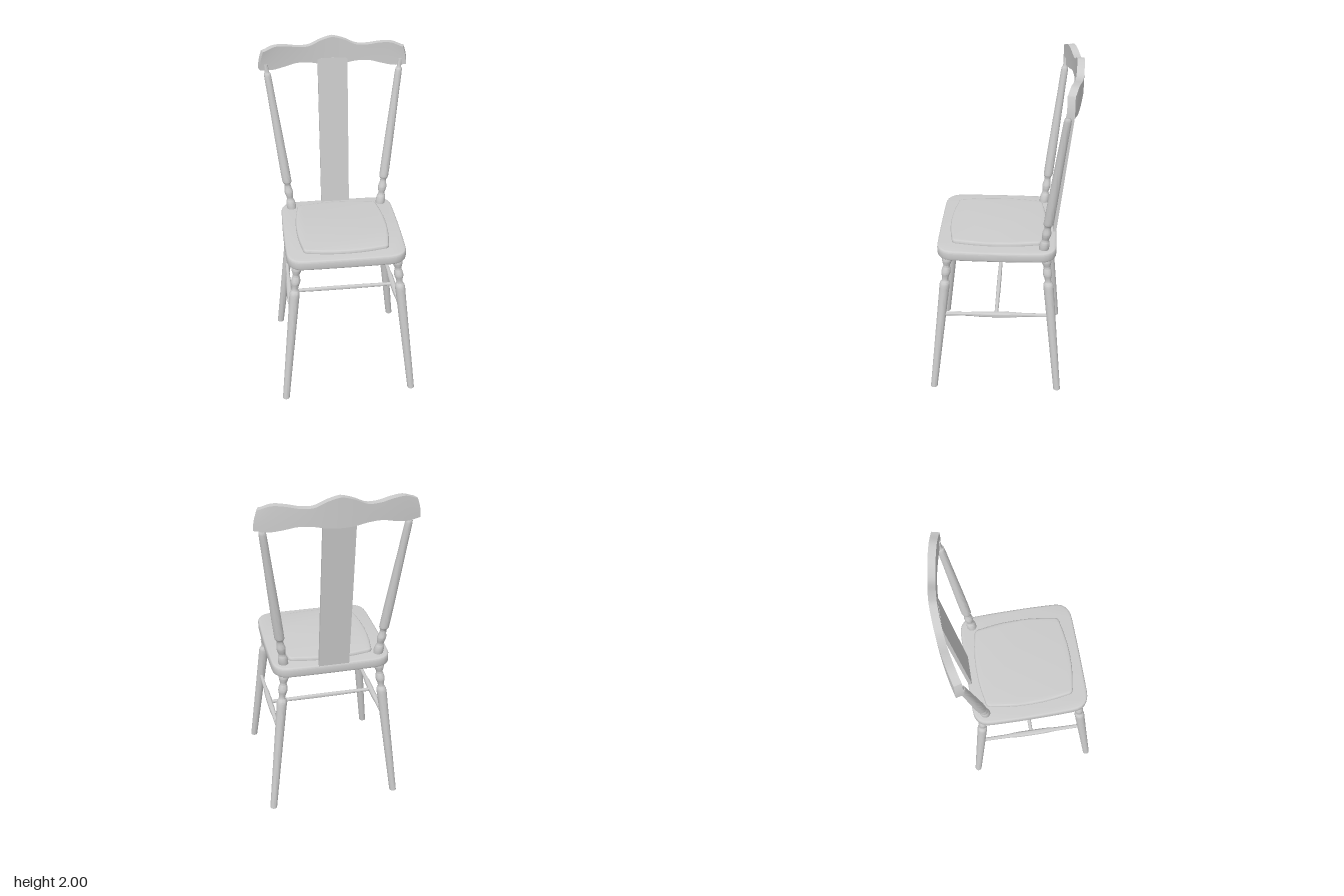
import * as THREE from 'three';
import { toCreasedNormals } from 'three/addons/utils/BufferGeometryUtils.js';

const material = new THREE.MeshStandardMaterial({ color: 0xcccccc });
const V = (x, y, z) => new THREE.Vector3(x, y, z);

function part(name, geometry) {
  const mesh = new THREE.Mesh(geometry, material);
  mesh.name = name;
  return mesh;
}

// Closed lathe from [radius, height] points, smoothed by a spline
function turned(profile, samples) {
  const curve = new THREE.SplineCurve(profile.map(([r, y]) => new THREE.Vector2(r, y)));
  const pts = curve.getPoints(samples);
  const bottom = new THREE.Vector2(0, pts[0].y);
  const top = new THREE.Vector2(0, pts[pts.length - 1].y);
  return new THREE.LatheGeometry([bottom, ...pts, top], 20);
}

// Turned upright sheared to lean from a to b, so its ends stay level
function leaning(name, profile, a, b) {
  const kx = (b.x - a.x) / (b.y - a.y), kz = (b.z - a.z) / (b.y - a.y);
  const geo = turned(profile, 60);
  geo.applyMatrix4(new THREE.Matrix4().set(
    1, kx, 0, a.x - kx * a.y,
    0, 1, 0, 0,
    0, kz, 1, a.z - kz * a.y,
    0, 0, 0, 1));
  return part(name, toCreasedNormals(geo, 0.8));
}

// Thin rod, swelling at the middle
function rod(name, a, b, rEnd, rMid) {
  const h = a.distanceTo(b) / 2;
  const mesh = part(name, toCreasedNormals(
    turned([[rEnd, -h], [rEnd * 1.1, -h / 2], [rMid, -h / 4], [rMid, h / 4], [rEnd * 1.1, h / 2], [rEnd, h]], 24), 0.8));
  mesh.position.copy(a).add(b).multiplyScalar(0.5);
  mesh.quaternion.setFromUnitVectors(V(0, 1, 0), b.clone().sub(a).normalize());
  return mesh;
}

// Horizontal slab with bowed sides: corner (cx, cz), side middles (mx, mz), corner rounding r
function slab(name, [cx, cz], [mx, mz], r, y0, y1, bevel) {
  cx -= bevel; cz -= bevel; mx -= bevel; mz -= bevel;
  const s = new THREE.Shape();
  s.moveTo(-cx + r, -cz);
  s.quadraticCurveTo(0, cz - 2 * mz, cx - r, -cz);
  s.quadraticCurveTo(cx, -cz, cx, -cz + r);
  s.quadraticCurveTo(2 * mx - cx, 0, cx, cz - r);
  s.quadraticCurveTo(cx, cz, cx - r, cz);
  s.quadraticCurveTo(0, 2 * mz - cz, -cx + r, cz);
  s.quadraticCurveTo(-cx, cz, -cx, cz - r);
  s.quadraticCurveTo(cx - 2 * mx, 0, -cx, -cz + r);
  s.quadraticCurveTo(-cx, -cz, -cx + r, -cz);
  const geo = new THREE.ExtrudeGeometry(s, {
    depth: y1 - y0 - 2 * bevel, bevelThickness: bevel, bevelSize: bevel, bevelSegments: 3, curveSegments: 6,
  });
  geo.rotateX(-Math.PI / 2).translate(0, y0 + bevel, 0);
  return part(name, toCreasedNormals(geo, 0.6));
}

// Bowed top rail with a scalloped top and bottom edge
function topRail() {
  const edge = pts => new THREE.SplineCurve(pts.map(([x, y]) => new THREE.Vector2(x, y)));
  const sample = (curve, x) => { // height of a curve running evenly over 0..1
    return curve.getPoint(Math.min(1, Math.abs(x))).y;
  };
  const top = edge([[0, 2], [0.2, 1.982], [0.4, 1.953], [0.6, 1.952], [0.8, 1.964], [0.93, 1.967], [1, 1.945]]);
  const low = edge([[0, 1.838], [0.2, 1.842], [0.4, 1.855], [0.6, 1.857], [0.8, 1.842], [0.93, 1.831], [1, 1.838]]);
  const geo = new THREE.BoxGeometry(2, 1, 1, 60, 6, 2);
  const p = geo.attributes.position;
  for (let i = 0; i < p.count; i++) {
    const u = p.getX(i), v = p.getY(i) + 0.5, w = p.getZ(i);
    const lo = sample(low, u), hi = sample(top, u);
    const x = u * (0.432 - 0.022 * v * v);
    const bow = -0.442 + 0.059 * u * u;
    p.setXYZ(i, x - w * 0.038 * u * 0.26, lo + (hi - lo) * v, bow + w * 0.04);
  }
  geo.computeVertexNormals();
  return part('topRail', geo);
}

const legProfile = [
  [0.021, 0], [0.024, 0.25], [0.027, 0.5], [0.029, 0.66], [0.03, 0.715], [0.027, 0.735], [0.019, 0.75],
  [0.02, 0.772], [0.027, 0.8], [0.024, 0.825], [0.019, 0.845], [0.025, 0.865], [0.03, 0.885], [0.028, 0.915],
];
const postProfile = [
  [0.027, 0.955], [0.029, 0.985], [0.026, 1.01], [0.019, 1.03], [0.024, 1.055], [0.026, 1.075], [0.02, 1.105],
  [0.019, 1.125], [0.027, 1.14], [0.028, 1.16], [0.028, 1.25], [0.026, 1.4], [0.022, 1.65], [0.02, 1.8],
  [0.013, 1.822], [0.013, 1.87],
];

export function createModel() {
  const model = new THREE.Group();
  model.name = 'chair';
  const chair = new THREE.Group();
  chair.name = 'chairBody';
  chair.position.set(-0.006, 0, 0.02);
  chair.rotation.y = -0.045; // turned slightly on its spot
  model.add(chair);

  // Seat and cushion
  chair.add(slab('seat', [0.346, 0.346], [0.35, 0.348], 0.095, 0.905, 0.965, 0.012));
  chair.add(slab('cushion', [0.25, 0.264], [0.2725, 0.288], 0.025, 0.95, 0.985, 0.012));

  // Splayed legs, back posts and side stretchers
  for (const [side, s] of [['left', 1], ['right', -1]]) {
    chair.add(leaning(side + 'FrontLeg', legProfile, V(s * 0.39, 0, 0.387), V(s * 0.29, 0.905, 0.283)));
    chair.add(leaning(side + 'BackLeg', legProfile, V(s * 0.382, 0, -0.377), V(s * 0.28, 0.905, -0.287)));
    chair.add(leaning(side + 'BackPost', postProfile, V(s * 0.28, 0.965, -0.272), V(s * 0.388, 1.82, -0.373)));
    chair.add(rod(side + 'Stretcher', V(s * 0.333, 0.52, 0.327), V(s * 0.323, 0.52, -0.325), 0.011, 0.017));
  }
  chair.add(rod('crossStretcher', V(0.328, 0.52, 0), V(-0.328, 0.52, 0), 0.011, 0.013));

  // Flat splat leaning back into the rail
  const splat = new THREE.BoxGeometry(0.176, 0.92, 0.02);
  splat.applyMatrix4(new THREE.Matrix4().makeShear(0, 0, 0, -0.105, 0, 0));
  splat.translate(0.0, 1.415, -0.382);
  splat.computeVertexNormals();
  chair.add(part('backSplat', splat));

  chair.add(topRail());
  return model;
}
